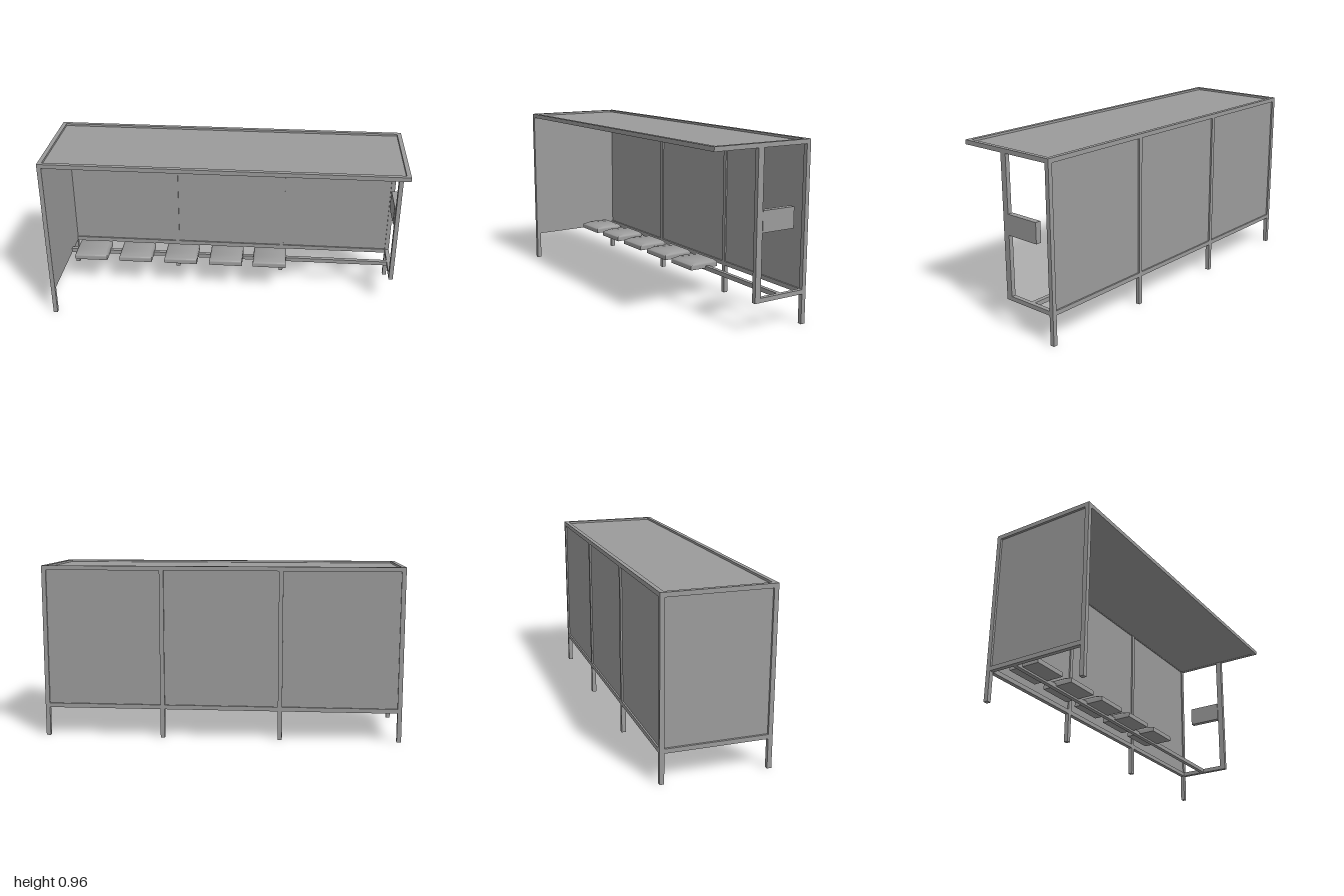
import * as THREE from 'three';
import { toCreasedNormals } from 'three/addons/utils/BufferGeometryUtils.js';

const T = 0.024; // frame tube thickness
const L = -1, R = 0.998, B = -0.298, F = 0.3; // outer frame limits
const BASE = 0.163, TOP = 0.965;

export function createModel() {
  const model = new THREE.Group();
  const material = new THREE.MeshStandardMaterial({ color: 0x9b9b9b });

  // Box given by its minimum and maximum corners
  function block(name, x0, x1, y0, y1, z0, z1) {
    const mesh = new THREE.Mesh(new THREE.BoxGeometry(x1 - x0, y1 - y0, z1 - z0), material);
    mesh.position.set((x0 + x1) / 2, (y0 + y1) / 2, (z0 + z1) / 2);
    mesh.name = name;
    model.add(mesh);
  }

  // Roof frame and recessed roof sheet
  const roofY = TOP - T;
  block('roofFrontRail', L, R, roofY, TOP, F - T, F);
  block('roofBackRail', L, R, roofY, TOP, B, B + T);
  block('roofLeftRail', L, L + T, roofY, TOP, B + T, F - T);
  block('roofRightRail', R - T, R, roofY, TOP, B + T, F - T);
  block('roofPanel', L + T, R - T, roofY + 0.001, roofY + 0.012, B + T, F - T);

  // Rear posts reaching the ground, with a panel and lower rail in each bay
  const pitch = (R - L - T) / 3;
  for (let i = 0; i < 4; i++) {
    const x = L + i * pitch;
    block('rearPost', x, x + T, 0, roofY, B, B + T);
    if (i === 3) continue;
    block('rearBottomRail', x + T, x + pitch, BASE, BASE + T, B, B + T);
    block('rearPanel', x + T, x + pitch, BASE + T, roofY, B + 0.009, B + T - 0.008);
  }

  // Closed end wall, its panel flush with the inside of the frame
  block('frontPost', L, L + T, 0, roofY, F - T, F);
  block('closedEndBottomRail', L, L + T, BASE, BASE + T, B + T, F - T);
  block('closedEndPanel', L + T - 0.012, L + T, BASE + T, roofY, B + T, F - T);

  // Open half-depth end frame with a sign board on its post
  block('openEndPost', R - T, R, BASE, roofY, 0, 0.035);
  block('openEndBottomRail', R - T, R, BASE, BASE + T, B + T, 0);
  block('signBoard', 0.968, 1, 0.52, 0.632, -0.2, 0);

  // Bench rail and seats
  block('benchRail', L + T, R - T, BASE, BASE + T, -0.147, -0.123);
  const seatGeometry = makeSeat();
  for (const x of [-0.833, -0.558, -0.28, -0.005, 0.26]) {
    const seat = new THREE.Mesh(seatGeometry, material);
    seat.name = 'seat';
    seat.position.set(x, 0.194, -0.115);
    model.add(seat);
  }
  return model;
}

// Cushion with a square base, rounded upper edges and a dropped front lip
function makeSeat() {
  const w = 0.2, h = 0.04, d = 0.18, inset = 0.014;
  const geometry = new THREE.BoxGeometry(w, h, d, 1, 4, 4);
  const p = geometry.attributes.position;
  for (let i = 0; i < p.count; i++) {
    const x = p.getX(i), y = p.getY(i), z = p.getZ(i);
    const t = Math.max(0, y / (h / 2));
    const shrink = inset * (1 - Math.sqrt(1 - Math.min(1, t * t)));
    const drop = 0.007 * t * Math.max(0, (z - d / 4) / (d / 4));
    p.setXYZ(i, x * (1 - shrink / (w / 2)), y - drop, z * (1 - shrink / (d / 2)));
  }
  return toCreasedNormals(geometry, 0.95);
}
